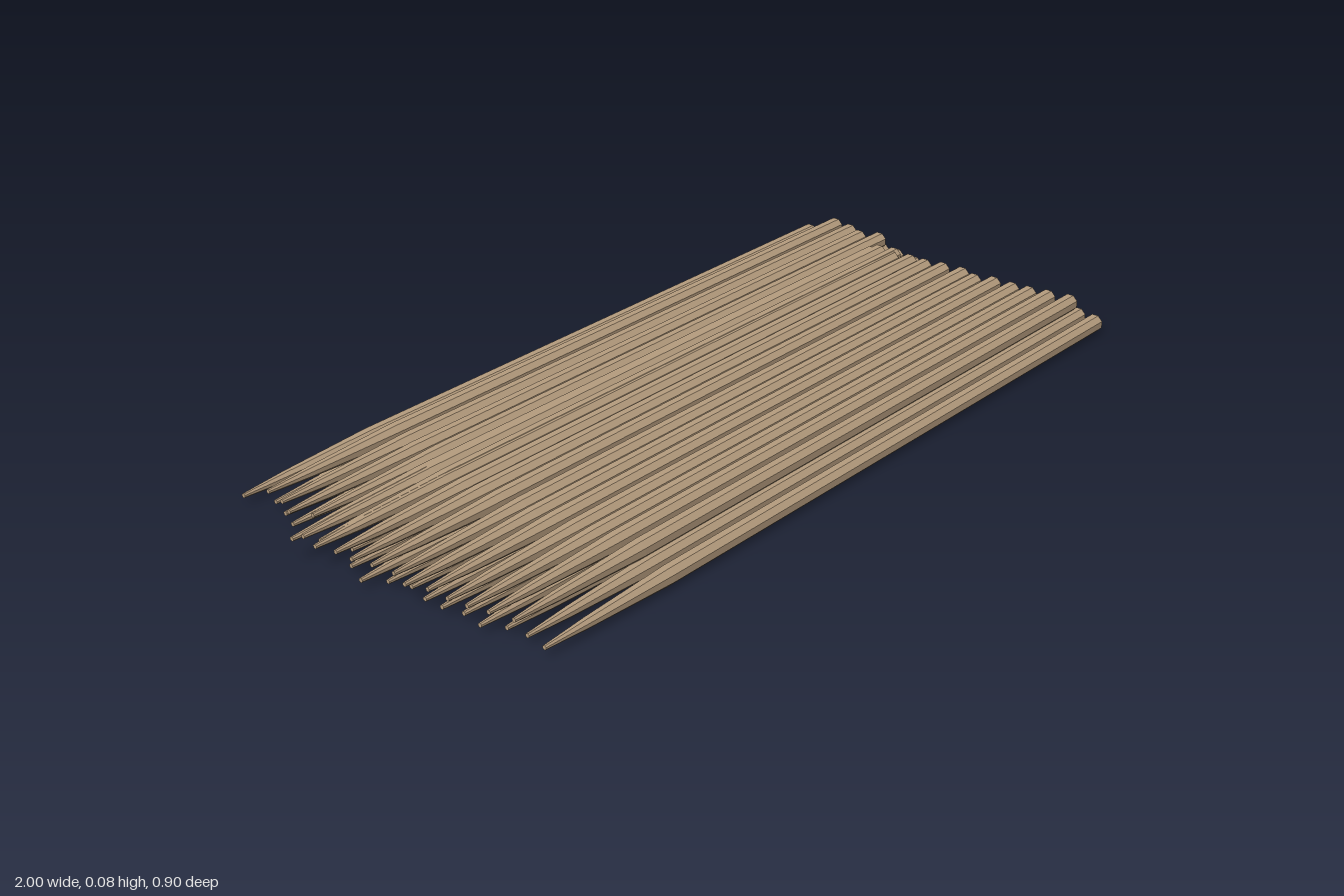
import * as THREE from 'three';

const LENGTH = 1.88;

// [z, y, x of blunt end] for each stick
const LOWER = [
  [0.432, 0.023, 0.95], [0.38, 0.023, 0.96], [0.333, 0.023, 0.955], [0.289, 0.023, 0.93],
  [0.237, 0.023, 0.94], [0.19, 0.023, 0.93], [0.145, 0.023, 0.93], [0.093, 0.023, 0.945],
  [0.045, 0.023, 0.93], [0.002, 0.023, 0.9], [-0.052, 0.023, 0.925], [-0.099, 0.023, 0.97],
  [-0.16, 0.025, 0.98], [-0.212, 0.025, 0.99], [-0.26, 0.025, 0.96], [-0.305, 0.025, 0.98],
  [-0.357, 0.025, 1.0], [-0.433, 0.021, 0.98],
];
const UPPER = [
  [0.367, 0.06, 0.94], [0.313, 0.06, 0.93], [0.267, 0.06, 0.92], [0.222, 0.06, 0.915],
  [0.17, 0.06, 0.915], [0.124, 0.06, 0.9], [0.079, 0.06, 0.915], [0.025, 0.06, 0.91],
  [-0.021, 0.06, 0.9], [-0.065, 0.06, 0.9], [-0.112, 0.059, 0.89], [-0.12, 0.06, 0.91],
  [-0.158, 0.06, 0.9], [-0.167, 0.06, 0.88], [-0.209, 0.059, 0.97], [-0.256, 0.059, 0.95],
  [-0.3, 0.058, 0.97], [-0.353, 0.058, 0.98],
];

// Octagonal stick with a long tapered point toward -x, blunt end at the origin
function stickGeometry() {
  const profile = [
    [0, 0], [0.021, 0], [0.021, LENGTH - 0.34],
    [0.012, LENGTH - 0.11], [0.005, LENGTH], [0, LENGTH],
  ].map(([r, h]) => new THREE.Vector2(r, h));
  const geometry = new THREE.LatheGeometry(profile, 8, Math.PI / 8);
  geometry.rotateZ(Math.PI / 2);
  return geometry;
}

export function createModel() {
  const model = new THREE.Group();
  model.name = 'stickBundle';
  const wood = new THREE.MeshStandardMaterial({ color: 0xb59c7e, flatShading: true });
  wood.name = 'paleWood';
  const geometry = stickGeometry();

  // Two stacked layers of sticks
  for (const [name, sticks] of [['lowerLayer', LOWER], ['upperLayer', UPPER]]) {
    const layer = new THREE.Group();
    layer.name = name;
    for (const [z, y, end] of sticks) {
      const stick = new THREE.Mesh(geometry, wood);
      stick.name = 'stick';
      stick.position.set(end, y, z);
      layer.add(stick);
    }
    model.add(layer);
  }
  return model;
}
